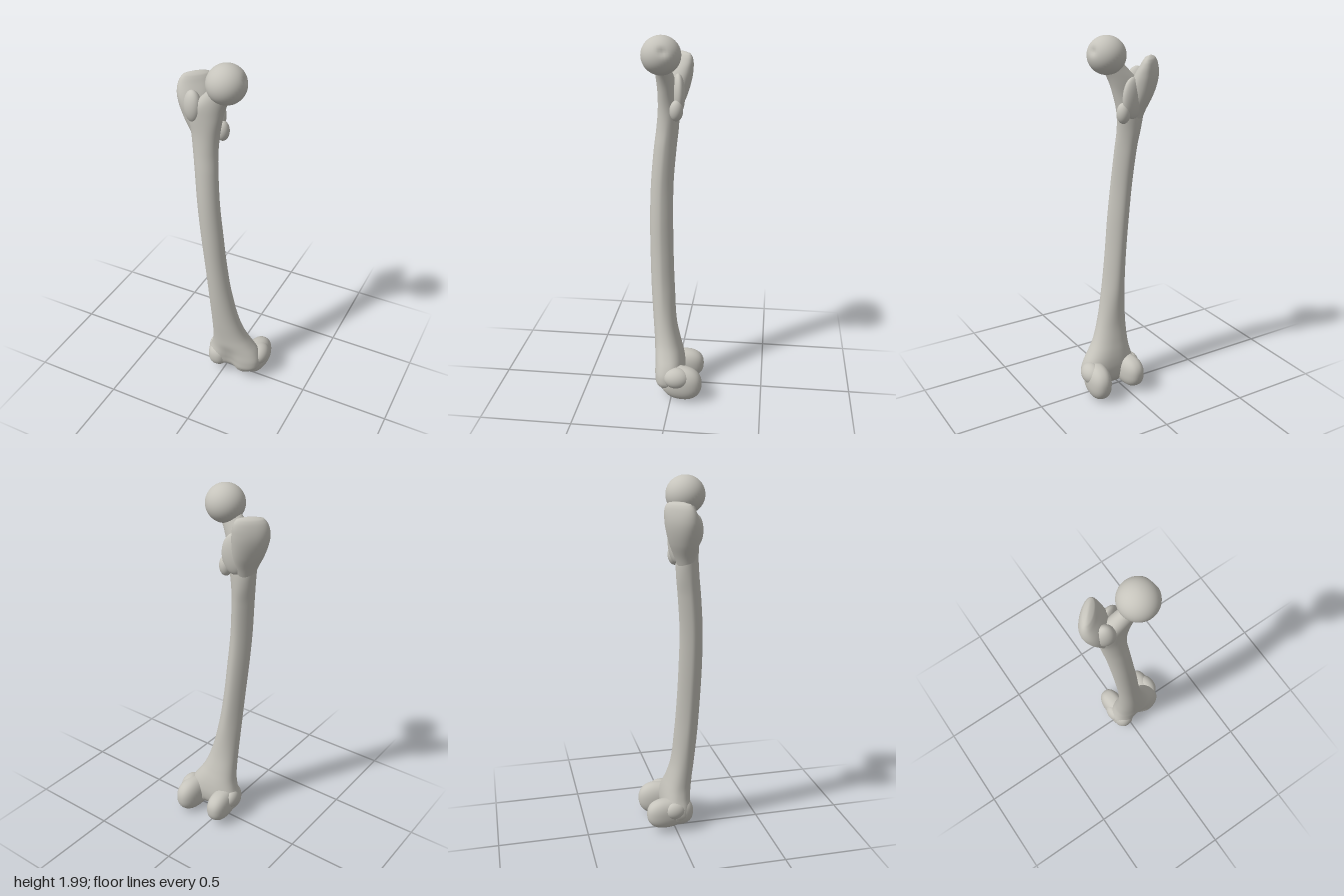
import * as THREE from 'three';
import { mergeVertices } from 'three/addons/utils/BufferGeometryUtils.js';

// Closed loft through level cross-sections. Row: [y, xMin, xMax, zBack, zFront, squareness]
function loft(rows, levels, sides, rule) {
  const times = rows.map(r => r[0]);
  const spline = new THREE.CubicInterpolant(times, rows.flatMap(r => r.slice(1)), 5, new Float32Array(5));
  const y0 = times[0], y1 = times[times.length - 1];
  const pos = [], index = [], v = new THREE.Vector3();
  const power = (t, n) => Math.sign(t) * Math.abs(t) ** (2 / n);
  for (let j = 0; j <= levels; j++) {
    const y = y0 + (y1 - y0) * j / levels;
    const [xa, xb, za, zb, n] = spline.evaluate(y);
    for (let k = 0; k < sides; k++) {
      const a = k / sides * Math.PI * 2;
      const c = power(Math.cos(a), n), s = power(Math.sin(a), n);
      v.set((xa + xb) / 2 + c * (xb - xa) / 2, y, (za + zb) / 2 + s * (zb - za) / 2);
      if (rule) rule(v, s, (xa + xb) / 2);
      pos.push(v.x, v.y, v.z);
    }
  }
  for (let j = 0; j < levels; j++) {
    for (let k = 0; k < sides; k++) {
      const a = j * sides + k, c = j * sides + (k + 1) % sides;
      index.push(a, a + sides, c, a + sides, c + sides, c);
    }
  }
  // End caps
  [0, levels].forEach((j, top) => {
    const row = rows[top ? rows.length - 1 : 0], centre = pos.length / 3;
    pos.push((row[1] + row[2]) / 2, row[0], (row[3] + row[4]) / 2);
    for (let k = 0; k < sides; k++) {
      const a = j * sides + k, b = j * sides + (k + 1) % sides;
      index.push(centre, top ? b : a, top ? a : b);
    }
  });
  const geo = new THREE.BufferGeometry();
  geo.setAttribute('position', new THREE.Float32BufferAttribute(pos, 3));
  geo.setIndex(index);
  geo.computeVertexNormals();
  return geo;
}

// Rounded lump: a sphere stretched to the radii and squared off by n
function lump(radii, n = 2, rule) {
  let geo = new THREE.SphereGeometry(1, 40, 28);
  geo.deleteAttribute('uv');
  geo.deleteAttribute('normal');
  geo = mergeVertices(geo);
  const p = geo.attributes.position, v = new THREE.Vector3();
  for (let i = 0; i < p.count; i++) {
    v.fromBufferAttribute(p, i);
    const d = Math.abs(v.x) ** n + Math.abs(v.y) ** n + Math.abs(v.z) ** n;
    v.multiplyScalar(d ** (-1 / n));
    if (rule) rule(v);
    p.setXYZ(i, v.x * radii[0], v.y * radii[1], v.z * radii[2]);
  }
  geo.computeVertexNormals();
  return geo;
}

export function createModel() {
  const group = new THREE.Group();
  group.name = 'thighBone';
  const bone = new THREE.MeshStandardMaterial({ color: 0xc6c4bc });
  bone.name = 'bone';
  const add = (name, geo, at = [0, 0, 0], yaw = 0) => {
    const mesh = new THREE.Mesh(geo, bone);
    mesh.name = name;
    mesh.position.set(...at);
    mesh.rotation.y = yaw;
    group.add(mesh);
  };

  // Shaft, flaring into the knee end below and leaning into the neck above
  const shaftRows = [
    [0.045, -0.04, 0.13, -0.02, 0.05, 2.2],
    [0.08, -0.09, 0.205, -0.05, 0.09, 2.5],
    [0.14, -0.10, 0.225, -0.065, 0.10, 2.6],
    [0.20, -0.082, 0.205, -0.062, 0.10, 2.4],
    [0.25, -0.07, 0.172, -0.052, 0.103, 2.3],
    [0.30, -0.066, 0.142, -0.038, 0.106, 2.2],
    [0.40, -0.065, 0.105, -0.015, 0.115, 2.1],
    [0.60, -0.075, 0.063, 0, 0.13, 2],
    [0.80, -0.09, 0.035, 0.01, 0.138, 2],
    [1.00, -0.11, 0.015, 0.015, 0.142, 2],
    [1.20, -0.13, -0.006, 0.015, 0.138, 2],
    [1.40, -0.15, -0.022, 0, 0.122, 2],
    [1.50, -0.163, -0.028, -0.01, 0.11, 2],
    [1.60, -0.175, -0.022, -0.012, 0.102, 2.1],
    [1.70, -0.19, 0, 0.002, 0.102, 2.2],
    [1.75, -0.165, 0.015, 0.008, 0.104, 2.2],
    [1.80, -0.115, 0.037, 0.018, 0.106, 2.1],
    [1.84, -0.078, 0.062, 0.027, 0.108, 2],
    [1.89, -0.035, 0.08, 0.03, 0.11, 2],
  ];
  add('shaftAndNeck', loft(shaftRows, 130, 48, (v, s, xMid) => {
    // Narrow the back into a long ridge along the middle of the shaft
    const mid = THREE.MathUtils.smoothstep(v.y, 0.35, 0.7) * (1 - THREE.MathUtils.smoothstep(v.y, 1.4, 1.6));
    if (s < 0) v.x = xMid + (v.x - xMid) * (1 + 0.25 * s * mid);
    // Groove for the kneecap
    const low = 1 - THREE.MathUtils.smoothstep(v.y, 0.1, 0.26);
    if (s > 0) v.z -= 0.03 * s * low * Math.exp(-(((v.x - 0.05) / 0.05) ** 2));
  }));

  // Ball of the hip with its small pit
  const pit = new THREE.Vector3(0.92, 0.3, -0.2).normalize();
  add('head', lump([0.102, 0.1, 0.103], 2, v => {
    const d = v.distanceTo(pit);
    v.multiplyScalar(1 - 0.13 * Math.exp(-((d / 0.2) ** 2)));
  }), [0.03, 1.9, 0.067]);

  // Large outer knob beside the neck, set diagonally
  add('greaterTrochanter', loft([
    [1.50, -0.02, 0.04, 0.045, 0.095, 2],
    [1.60, -0.045, 0.07, 0.008, 0.10, 2],
    [1.68, -0.074, 0.086, -0.03, 0.09, 2.1],
    [1.75, -0.092, 0.094, -0.052, 0.08, 2.2],
    [1.80, -0.095, 0.096, -0.058, 0.06, 2.2],
    [1.85, -0.082, 0.092, -0.052, 0.03, 2.2],
    [1.875, -0.065, 0.082, -0.043, 0.015, 2.1],
    [1.888, -0.045, 0.065, -0.032, 0.003, 2],
    [1.892, -0.02, 0.04, -0.022, -0.008, 2],
  ], 50, 40), [-0.175, 0, 0], Math.PI / 4);
  add('frontTubercle', lump([0.055, 0.085, 0.042]), [-0.155, 1.745, 0.07], -0.5);

  // Small inner knob and the ridge joining it to the large one
  add('lesserTrochanter', lump([0.036, 0.055, 0.036]), [-0.028, 1.605, -0.004]);
  add('trochanterCrest', lump([0.07, 0.11, 0.035]), [-0.085, 1.68, -0.008], 0.25);

  // Rounded knee knobs: [name, centre, radii, yaw, squareness]
  const knobs = [
    ['innerCondyle', [0.172, 0.108, -0.058], [0.066, 0.098, 0.115], -0.12, 2.3],
    ['outerCondyle', [-0.036, 0.115, -0.055], [0.062, 0.086, 0.11], 0.06, 2.4],
    ['innerFrontRidge', [0.128, 0.115, 0.012], [0.078, 0.08, 0.076], 0.4, 2.2],
    ['outerFrontRidge', [-0.036, 0.118, 0.025], [0.062, 0.078, 0.077], 0, 2.3],
    ['innerEpicondyle', [0.198, 0.148, -0.035], [0.055, 0.06, 0.075], 0, 2],
    ['outerEpicondyle', [-0.075, 0.14, -0.01], [0.037, 0.05, 0.06], 0, 2],
  ];
  for (const [name, at, radii, yaw, n] of knobs) add(name, lump(radii, n), at, yaw);

  return group;
}
